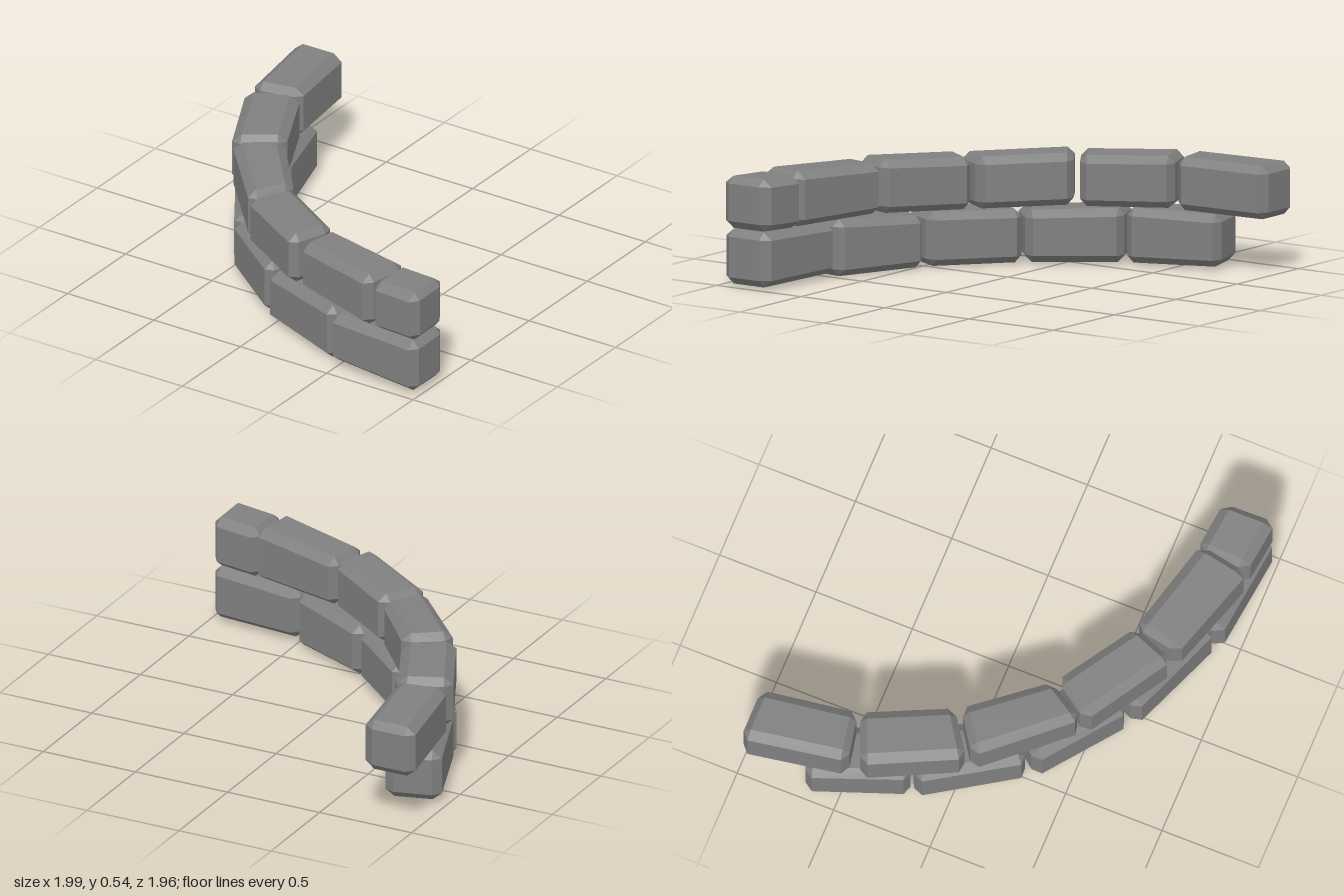
import * as THREE from 'three';
import { ConvexGeometry } from 'three/addons/geometries/ConvexGeometry.js';

const stone = new THREE.MeshStandardMaterial({ color: 0x808080 });
stone.name = 'greyStone';

// Plan corners [x, z]: outer start, inner start, inner end, outer end;
// then bottom and top heights at the start and at the end.
const upperCourse = [
  [[-1, -0.985], [-0.73, -0.985], [-0.665, -0.51], [-0.915, -0.46], 0.27, 0.53, 0.28, 0.54],
  [[-0.91, -0.40], [-0.66, -0.50], [-0.465, -0.09], [-0.685, 0.06], 0.285, 0.54, 0.28, 0.53],
  [[-0.665, 0.08], [-0.455, -0.06], [-0.165, 0.29], [-0.285, 0.50], 0.285, 0.54, 0.27, 0.525],
  [[-0.285, 0.515], [-0.145, 0.31], [0.24, 0.56], [0.155, 0.79], 0.27, 0.525, 0.28, 0.54],
  [[0.20, 0.795], [0.245, 0.555], [0.75, 0.69], [0.70, 0.955], 0.285, 0.53, 0.275, 0.545],
  [[0.715, 0.945], [0.73, 0.68], [0.99, 0.71], [0.995, 0.98], 0.275, 0.53, 0.285, 0.54],
];
const lowerCourse = [
  [[-0.98, -0.66], [-0.71, -0.735], [-0.575, -0.28], [-0.80, -0.18], 0.015, 0.27, 0.01, 0.28],
  [[-0.805, -0.16], [-0.57, -0.27], [-0.32, 0.12], [-0.50, 0.31], 0.01, 0.275, 0.005, 0.26],
  [[-0.49, 0.34], [-0.31, 0.13], [0.04, 0.43], [-0.075, 0.66], 0.005, 0.265, 0.005, 0.27],
  [[-0.06, 0.69], [0.06, 0.44], [0.495, 0.64], [0.455, 0.895], 0.005, 0.26, 0, 0.28],
  [[0.45, 0.92], [0.50, 0.65], [0.99, 0.71], [0.99, 0.98], 0.02, 0.27, 0.01, 0.28],
];

// A wedge-shaped block with every edge and corner chamfered
function brickGeometry([a, b, c, d, low0, top0, low1, top1]) {
  const lerp = THREE.MathUtils.lerp;
  const length = Math.hypot(c[0] + d[0] - a[0] - b[0], c[1] + d[1] - a[1] - b[1]) / 2;
  const width = Math.hypot(b[0] - a[0], b[1] - a[1]);
  const endCut = 0.034 / length, sideCut = 0.046 / width, rise = 0.036;
  const at = (u, v, top, drop) => {
    const x = lerp(lerp(a[0], b[0], v), lerp(d[0], c[0], v), u);
    const z = lerp(lerp(a[1], b[1], v), lerp(d[1], c[1], v), u);
    const y = top ? lerp(top0, top1, u) - drop : lerp(low0, low1, u) + drop;
    return new THREE.Vector3(x, y, z);
  };
  const points = [];
  for (const u of [0, 1]) for (const v of [0, 1]) for (const top of [false, true]) {
    const ui = u ? 1 - endCut : endCut;
    const vi = v ? 1 - sideCut : sideCut;
    points.push(at(ui, vi, top, 0), at(ui, v, top, rise), at(u, vi, top, rise));
  }
  return new ConvexGeometry(points);
}

function course(name, bricks) {
  const group = new THREE.Group();
  group.name = name;
  bricks.forEach((brick, i) => {
    const mesh = new THREE.Mesh(brickGeometry(brick), stone);
    mesh.name = `${name}Brick${i + 1}`;
    group.add(mesh);
  });
  return group;
}

export function createModel() {
  const wall = new THREE.Group();
  wall.name = 'curvedBrickWall';
  wall.add(course('lowerCourse', lowerCourse), course('upperCourse', upperCourse));
  return wall;
}
